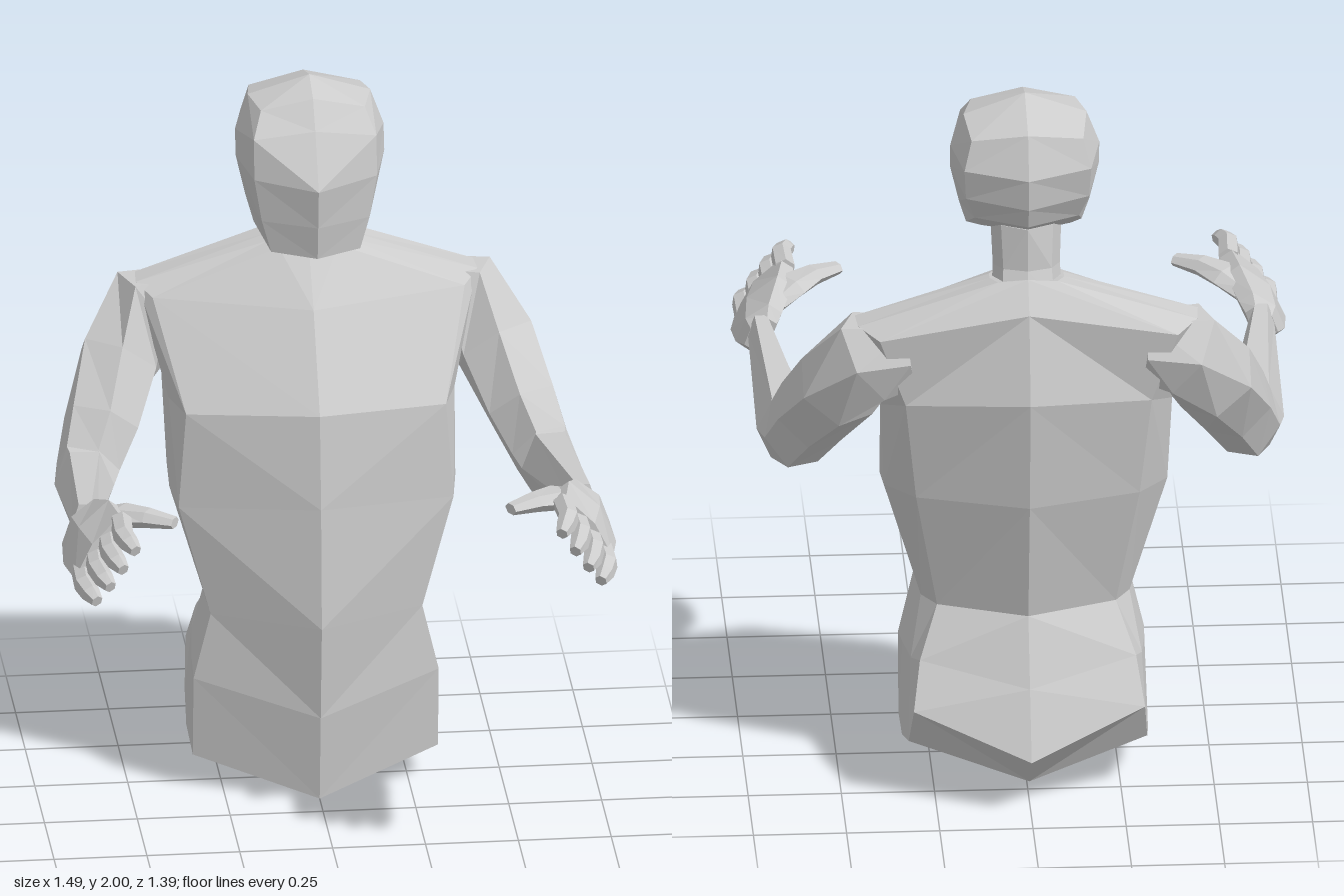
import * as THREE from 'three';

const V = (x, y, z) => new THREE.Vector3(x, y, z);

// Skin a stack of equal-sized closed rings with flat faces and capped ends
function loft(rings, bottom, top) {
  const out = [];
  const tri = (...pts) => pts.forEach(p => out.push(p.x, p.y, p.z));
  const n = rings[0].length;
  const centre = r => r.reduce((s, p) => s.add(p), V(0, 0, 0)).divideScalar(n);
  const last = rings[rings.length - 1];
  const lo = bottom || centre(rings[0]), hi = top || centre(last);
  for (let i = 0; i < n; i++) {
    const j = (i + 1) % n;
    for (let k = 0; k + 1 < rings.length; k++) {
      const a = rings[k], b = rings[k + 1];
      // opposite diagonals on the two halves keep the skin symmetric
      if (i < n / 2) {
        tri(a[i], a[j], b[j]);
        tri(a[i], b[j], b[i]);
      } else {
        tri(a[i], a[j], b[i]);
        tri(a[j], b[j], b[i]);
      }
    }
    tri(lo, rings[0][j], rings[0][i]);
    tri(hi, last[i], last[j]);
  }
  const g = new THREE.BufferGeometry();
  g.setAttribute('position', new THREE.Float32BufferAttribute(out, 3));
  g.computeVertexNormals();
  return g;
}

// Half outline (front centre, round the left side, to back centre) -> full ring
function fullRing(half) {
  const left = half.map(p => V(...p));
  const right = left.slice(1, -1).reverse().map(p => V(-p.x, p.y, p.z));
  return [...left, ...right];
}

// Limb along sections [x, y, z, halfWidth along ref, halfWidth across]; side = +1 left, -1 right
function limb(sections, ref, sides, side) {
  const c = sections.map(s => V(s[0], s[1], s[2]));
  const rings = sections.map((s, k) => {
    const t = c[Math.min(k + 1, c.length - 1)].clone().sub(c[Math.max(k - 1, 0)]).normalize();
    const u = ref.clone().addScaledVector(t, -ref.dot(t)).normalize();
    const v = t.clone().cross(u);
    const ring = [];
    for (let i = 0; i < sides; i++) {
      const a = (i + 0.5) / sides * Math.PI * 2;
      const p = c[k].clone().addScaledVector(u, s[3] * Math.cos(a)).addScaledVector(v, s[4] * Math.sin(a));
      p.x *= side;
      ring.push(p);
    }
    return side < 0 ? ring.reverse() : ring;
  });
  return loft(rings);
}

export function createModel() {
  const model = new THREE.Group();
  model.name = 'upperBodyFigure';
  const grey = new THREE.MeshStandardMaterial({ color: 0xcccccc });
  grey.name = 'light grey';
  const add = (parent, name, geometry) => {
    const m = new THREE.Mesh(geometry, grey);
    m.name = name;
    parent.add(m);
  };

  // Torso: hips, belly, waist, ribs, chest, shoulders, neck base
  const torso = [
    [[0, .005, -.087], [.33, .1, -.2], [.33, .115, -.37], [.32, .16, -.51], [.31, .28, -.585], [0, .17, -.69]],
    [[0, .25, -.06], [.33, .33, -.18], [.325, .35, -.28], [.31, .37, -.43], [.29, .4, -.515], [0, .35, -.61]],
    [[0, .52, -.03], [.285, .52, -.17], [.285, .52, -.28], [.28, .53, -.375], [.24, .53, -.44], [0, .53, -.53]],
    [[0, .86, -.05], [.37, .83, -.18], [.385, .85, -.28], [.38, .87, -.4], [.3, .88, -.51], [0, .88, -.6]],
    [[0, 1.12, -.08], [.35, 1.1, -.18], [.385, 1.1, -.3], [.39, 1.13, -.45], [.33, 1.17, -.55], [0, 1.2, -.64]],
    [[0, 1.36, -.245], [.42, 1.36, -.375], [.46, 1.385, -.43], [.455, 1.385, -.5], [.4, 1.37, -.57], [0, 1.44, -.58]],
    [[0, 1.48, -.36], [.08, 1.49, -.38], [.1, 1.495, -.42], [.1, 1.5, -.46], [.08, 1.51, -.51], [0, 1.52, -.52]],
  ];
  add(model, 'torso', loft(torso.map(fullRing), V(0, .065, -.58)));

  // Neck leaning forward into the skull
  const neck = [
    [[0, 1.44, -.38], [.09, 1.45, -.39], [.095, 1.45, -.45], [.07, 1.47, -.52], [0, 1.47, -.54]],
    [[0, 1.52, -.35], [.085, 1.52, -.365], [.09, 1.53, -.43], [.065, 1.54, -.49], [0, 1.54, -.51]],
    [[0, 1.63, -.31], [.09, 1.63, -.33], [.095, 1.65, -.41], [.07, 1.66, -.47], [0, 1.66, -.505]],
  ];
  add(model, 'neck', loft(neck.map(fullRing)));

  // Head: jaw, cheeks, eye line, brow, crown
  const head = [
    [[0, 1.555, -.14], [.12, 1.56, -.19], [.155, 1.6, -.31], [.12, 1.63, -.4], [0, 1.64, -.47]],
    [[0, 1.65, -.125], [.145, 1.65, -.19], [.175, 1.67, -.33], [.14, 1.68, -.46], [0, 1.68, -.53]],
    [[0, 1.76, -.11], [.165, 1.77, -.19], [.2, 1.78, -.34], [.165, 1.75, -.49], [0, 1.74, -.555]],
    [[0, 1.9, -.2], [.165, 1.88, -.205], [.2, 1.85, -.36], [.17, 1.84, -.51], [0, 1.83, -.565]],
    [[0, 1.97, -.26], [.14, 1.94, -.265], [.165, 1.945, -.37], [.15, 1.92, -.49], [0, 1.945, -.52]],
  ];
  add(model, 'head', loft(head.map(fullRing), V(0, 1.575, -.31), V(0, 2, -.36)));

  const up = V(0, 1, 0);
  const across = V(-.6, .8, 0); // direction of the knuckle row
  for (const [side, label] of [[1, 'left'], [-1, 'right']]) {
    const arm = new THREE.Group();
    arm.name = label + 'Arm';
    model.add(arm);

    // Shoulder, upper arm, blunt elbow and tapering forearm in one skin
    add(arm, label + 'ArmSkin', limb([
      [.31, 1.3, -.485, .1, .09], [.425, 1.285, -.475, .133, .112], [.507, 1.17, -.415, .122, .118],
      [.567, 1.04, -.29, .112, .106], [.61, .945, -.215, .106, .088], [.628, .925, -.14, .106, .08], [.672, 1, .3, .062, .034],
    ], up, 6, side));

    // Hand: palm tilted inward, four curled fingers and a thumb
    add(arm, label + 'Palm', limb([
      [.672, 1, .285, .058, .034], [.675, 1.005, .32, .085, .045], [.662, 1.015, .42, .122, .05], [.648, 1.02, .53, .122, .036],
    ], across, 6, side));
    [.67, .685, .69, .675].forEach((tip, i) => {
      const k = (1.5 - i) * .058;
      const x = .648 + across.x * k, y = 1.02 + across.y * k;
      add(arm, label + 'Finger' + (i + 1), limb([
        [x, y, .5, .03, .03], [x + .004, y + .002, .6, .029, .028],
        [x - .008, y - .005, tip - .03, .027, .025], [x - .022, y - .015, tip, .017, .017],
      ], across, 6, side));
    });
    add(arm, label + 'Thumb', limb([
      [.635, 1.05, .375, .028, .045], [.585, 1.075, .425, .03, .058], [.52, 1.085, .472, .026, .036], [.452, 1.085, .513, .016, .024],
    ], up, 6, side));
  }
  return model;
}
